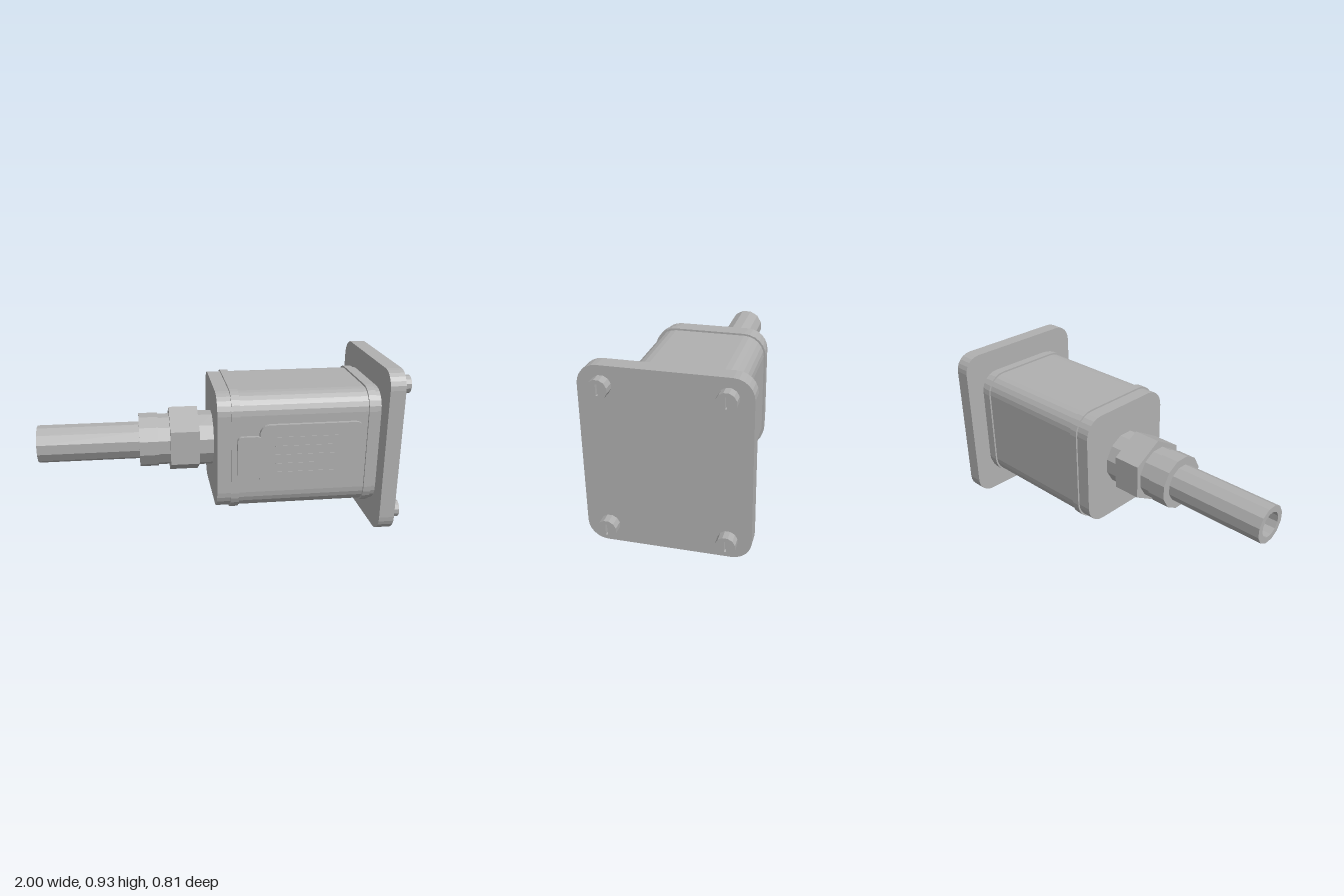
import * as THREE from 'three';

const CY = 0.465; // height of the main axis

// Rounded rectangle centred on the origin, three facets per corner
function roundedRect(w, h, r) {
  const s = new THREE.Shape();
  const x = w / 2 - r, y = h / 2 - r;
  s.absarc(x, y, r, 0, Math.PI / 2);
  s.absarc(-x, y, r, Math.PI / 2, Math.PI);
  s.absarc(-x, -y, r, Math.PI, Math.PI * 1.5);
  s.absarc(x, -y, r, Math.PI * 1.5, Math.PI * 2);
  s.closePath();
  return s;
}

// Regular polygon with a chosen first corner angle
function polygon(r, sides, start = 0, Type = THREE.Shape) {
  const points = [];
  for (let i = 0; i < sides; i++) {
    const a = start + (i / sides) * Math.PI * 2;
    points.push(new THREE.Vector2(r * Math.cos(a), r * Math.sin(a)));
  }
  return new Type(points);
}

export function createModel() {
  const group = new THREE.Group();
  const grey = new THREE.MeshStandardMaterial({ color: 0xb0b0b0, flatShading: true });
  grey.name = 'grey';

  function add(name, geometry, x = 0, y = 0, z = 0) {
    const mesh = new THREE.Mesh(geometry, grey);
    mesh.name = name;
    mesh.position.set(x, y, z);
    group.add(mesh);
  }
  const extrude = (shape, depth) =>
    new THREE.ExtrudeGeometry(shape, { depth, bevelEnabled: false, curveSegments: 3 });
  // Extrude a cross-section along the x axis
  function alongX(name, shape, x0, x1, y = CY, z = 0) {
    add(name, extrude(shape, x1 - x0).rotateY(Math.PI / 2), x0, y, z);
  }

  // Housing with two raised bands
  alongX('housing', roundedRect(0.6, 0.66, 0.11), -0.03, 0.862);
  alongX('rearBand', roundedRect(0.62, 0.68, 0.12), 0.045, 0.09);
  alongX('frontBand', roundedRect(0.62, 0.68, 0.12), 0.79, 0.833);

  // Mounting flange and its four slotted screws
  alongX('flange', roundedRect(0.81, 0.925, 0.097), 0.86, 0.945, 0.4625);
  for (const y of [0.095, 0.83]) {
    for (const z of [-0.29, 0.29]) {
      const head = polygon(0.049, 12, Math.PI / 12);
      head.holes.push(new THREE.Path([
        new THREE.Vector2(-0.005, -0.028), new THREE.Vector2(-0.005, 0.028),
        new THREE.Vector2(0.005, 0.028), new THREE.Vector2(0.005, -0.028),
      ]));
      alongX('screwBase', polygon(0.049, 12, Math.PI / 12), 0.94, 0.98, y, z);
      alongX('screwHead', head, 0.98, 1, y, z);
    }
  }

  // Cable gland: neck, hexagonal nut and stepped collar
  alongX('glandNeck', polygon(0.155, 12, Math.PI / 12), -0.11, -0.03);
  alongX('glandNut', polygon(0.19, 6, Math.PI / 2), -0.27, -0.11);
  alongX('glandSleeve', polygon(0.145, 12, Math.PI / 12), -0.335, -0.27);
  alongX('glandCollar', polygon(0.152, 12, Math.PI / 12), -0.44, -0.335);

  // Hollow cable
  const cable = polygon(0.105, 12, Math.PI / 12);
  cable.holes.push(polygon(0.07, 12, Math.PI / 12, THREE.Path));
  alongX('cable', cable, -1, -0.44);

  // Side plate on a thin spacer, with a latch tab
  add('plateSpacer', extrude(roundedRect(0.4, 0.2, 0.03), 0.012), 0.4825, 0.4625, 0.298);
  add('sidePlate', extrude(roundedRect(0.575, 0.355, 0.055), 0.022), 0.4825, 0.4625, 0.308);
  add('latchTab', extrude(roundedRect(0.13, 0.24, 0.025), 0.02), 0.1375, 0.465, 0.33);

  // Fine ribs on the side plate
  [0.34, 0.34, 0.34, 0.24, 0.34].forEach((length, i) => {
    add('plateRib', new THREE.BoxGeometry(length, 0.004, 0.004),
      0.28 + length / 2, 0.57 - i * 0.05, 0.331);
  });

  return group;
}
